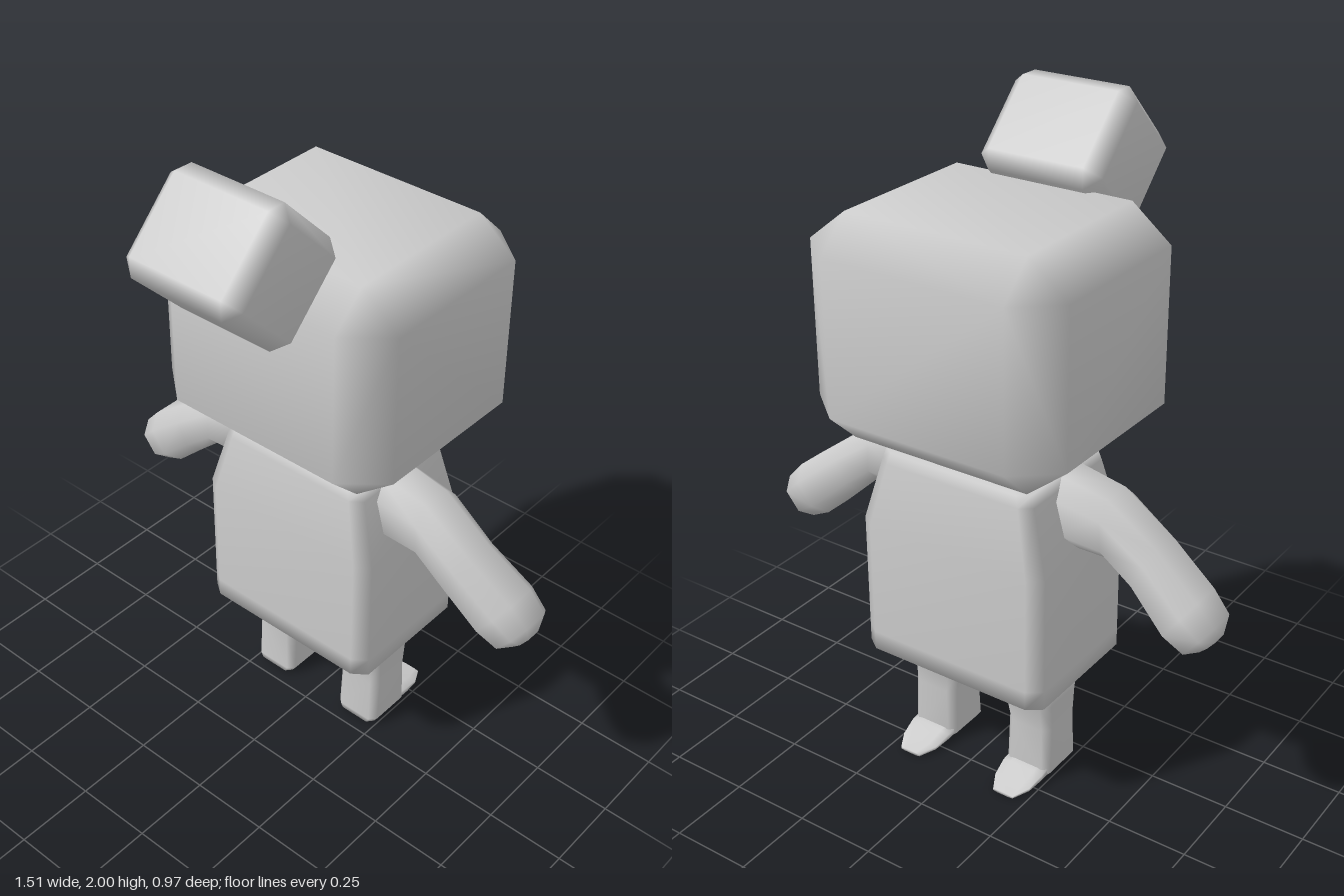
import * as THREE from 'three';
import { mergeVertices } from 'three/addons/utils/BufferGeometryUtils.js';
import { ConvexGeometry } from 'three/addons/geometries/ConvexGeometry.js';

const V = (x, y, z) => new THREE.Vector3(x, y, z);

// Box with cut edges and corners, shaded smoothly across its 24 shared vertices
function bevelBox(hx, hy, hz, cx, cy, cz) {
  const pts = [];
  for (const x of [-1, 1]) for (const y of [-1, 1]) for (const z of [-1, 1]) {
    pts.push(V(x * hx, y * (hy - cy), z * (hz - cz)));
    pts.push(V(x * (hx - cx), y * hy, z * (hz - cz)));
    pts.push(V(x * (hx - cx), y * (hy - cy), z * hz));
  }
  let g = new ConvexGeometry(pts);
  g.deleteAttribute('normal');
  g = mergeVertices(g, 1e-4);
  g.computeVertexNormals();
  return g;
}

// Eight-sided ring spanned by half-axes u and v; k sets how square it is
function ring(c, u, v, k) {
  return [[1, -k], [1, k], [k, 1], [-k, 1], [-1, k], [-1, -k], [-k, -1], [k, -1]]
    .map(([a, b]) => c.clone().addScaledVector(u, a).addScaledVector(v, b));
}

// Horizontal ring from its x and z limits
const level = (y, x0, x1, z0, z1, k) =>
  ring(V((x0 + x1) / 2, y, (z0 + z1) / 2), V(0, 0, (z1 - z0) / 2), V((x1 - x0) / 2, 0, 0), k);

// Skin over rings, closed at both ends; side -1 mirrors in x
function loft(rings, side = 1) {
  const n = 8, pts = rings.flat(), idx = [];
  const mid = r => r.reduce((s, p) => s.add(p), V(0, 0, 0)).divideScalar(n);
  const last = (rings.length - 1) * n, c0 = pts.length, c1 = c0 + 1;
  pts.push(mid(rings[0]), mid(rings[rings.length - 1]));
  for (let j = 0; j < n; j++) {
    const k = (j + 1) % n;
    for (let i = 0; i < last; i += n) idx.push(i + j, i + k, i + n + k, i + j, i + n + k, i + n + j);
    idx.push(c0, k, j, c1, last + j, last + k);
  }
  if (side < 0) {
    idx.reverse();
    pts.forEach(p => { p.x *= -1; });
  }
  const g = new THREE.BufferGeometry().setFromPoints(pts);
  g.setIndex(idx);
  g.computeVertexNormals();
  return g;
}

export function createModel() {
  const model = new THREE.Group();
  const grey = new THREE.MeshStandardMaterial({ color: 0xcccccc });
  grey.name = 'plain grey';
  const add = (name, geometry) => {
    const m = new THREE.Mesh(geometry, grey);
    m.name = name;
    model.add(m);
    return m;
  };

  // Head and the tilted block on its front edge
  add('head', bevelBox(0.415, 0.333, 0.353, 0.125, 0.1, 0.105)).position.set(0, 1.423, -0.128);
  const tuft = add('hairBlock', bevelBox(0.2, 0.163, 0.163, 0.045, 0.043, 0.043));
  tuft.position.set(0, 1.8, 0.285);
  tuft.rotation.x = Math.PI / 4;

  // Torso, narrowing at the shoulders
  add('torso', loft([
    level(0.345, -0.25, 0.25, -0.26, 0.01, 0.85),
    level(0.37, -0.315, 0.315, -0.355, 0.105, 0.86),
    level(0.43, -0.315, 0.315, -0.355, 0.105, 0.86),
    level(0.8, -0.315, 0.315, -0.355, 0.105, 0.86),
    level(1.0, -0.261, 0.261, -0.325, 0.075, 0.86),
    level(1.035, -0.25, 0.25, -0.318, 0.068, 0.86),
  ]));

  // Arm sections: top x, y, bottom x, y, back z, front z
  const arm = [
    [0.22, 1.035, 0.27, 0.82, -0.2, 0.0],
    [0.4, 1.0, 0.41, 0.818, -0.195, -0.005],
    [0.56, 0.89, 0.49, 0.748, -0.19, -0.008],
    [0.7, 0.785, 0.6, 0.645, -0.215, -0.02],
    [0.755, 0.725, 0.665, 0.613, -0.208, -0.035],
    [0.752, 0.67, 0.705, 0.628, -0.17, -0.075],
  ].map(([tx, ty, bx, by, z0, z1]) => ring(
    V((tx + bx) / 2, (ty + by) / 2, (z0 + z1) / 2),
    V((tx - bx) / 2, (ty - by) / 2, 0), V(0, 0, (z1 - z0) / 2), 0.5));

  // Leg, flaring where it meets the torso
  const leg = [
    level(0.008, 0.11, 0.24, -0.2, -0.04, 0.75),
    level(0.025, 0.098, 0.252, -0.21, -0.04, 0.75),
    level(0.18, 0.1, 0.252, -0.205, -0.046, 0.7),
    level(0.27, 0.085, 0.254, -0.215, -0.038, 0.7),
    level(0.36, 0.05, 0.262, -0.24, -0.025, 0.7),
  ];

  // Flat tongue trailing behind each foot: z, y, half width, half height
  const flap = [
    [-0.18, 0.03, 0.07, 0.018],
    [-0.225, 0.026, 0.07, 0.014],
    [-0.28, 0.014, 0.062, 0.007],
    [-0.33, 0.006, 0.035, 0.005],
  ].map(([z, y, w, h]) => ring(V(0.175, y, z), V(0, h, 0), V(w, 0, 0), 0.6));

  for (const [side, label] of [[1, 'left'], [-1, 'right']]) {
    for (const [part, rings] of [['Arm', arm], ['Leg', leg], ['FootFlap', flap]]) {
      add(label + part, loft(rings.map(r => r.map(p => p.clone())), side));
    }
  }
  return model;
}
